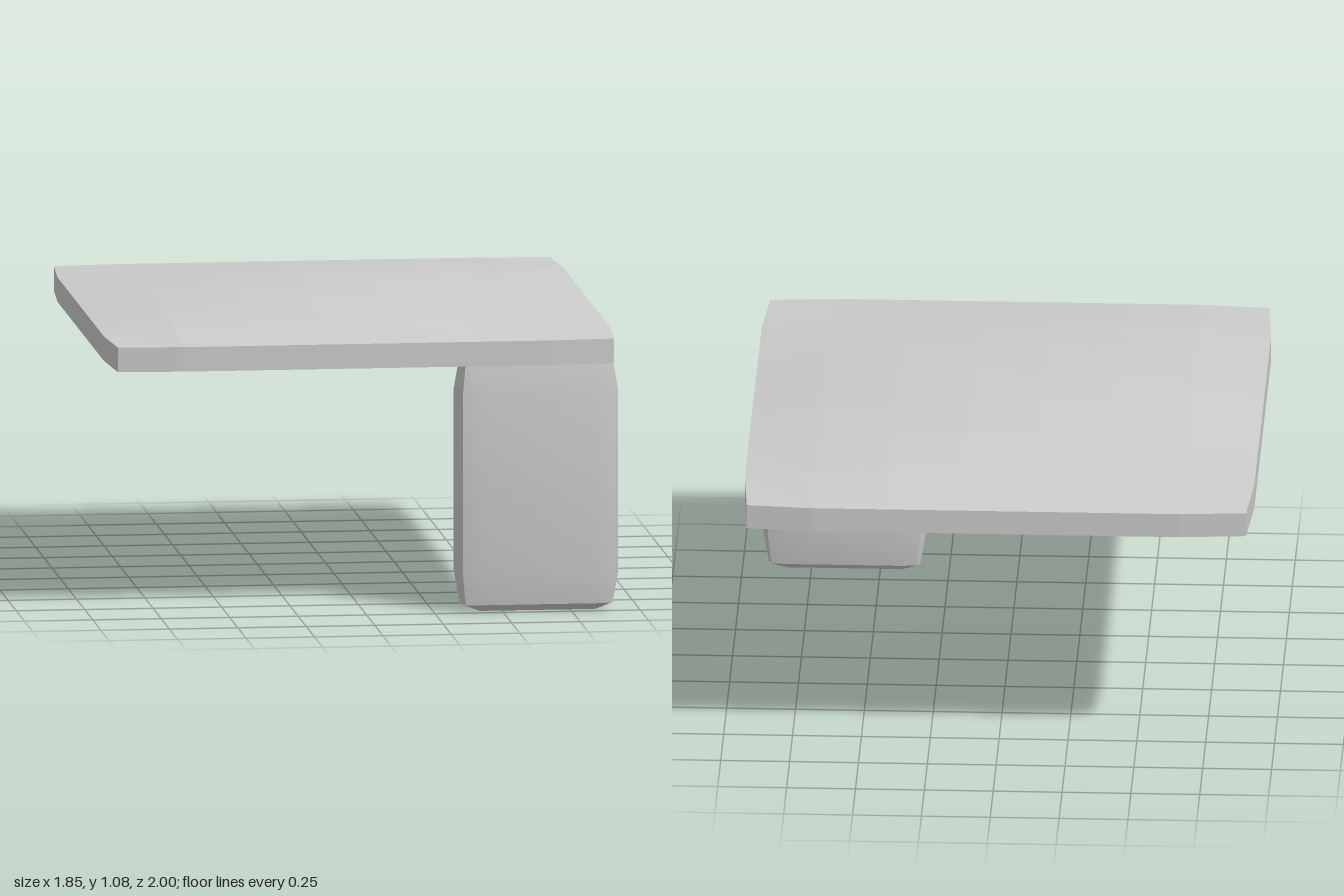
import * as THREE from 'three';
import { toCreasedNormals } from 'three/addons/utils/BufferGeometryUtils.js';

const quad = (out, a, b, c, d) => out.push([a, b, c], [a, c, d]);

// Joins horizontal rings, ordered bottom to top and running from +x towards +z
function loft(out, rings) {
  for (let k = 0; k < rings.length - 1; k++) {
    const lo = rings[k], hi = rings[k + 1], n = lo.length;
    for (let i = 0; i < n; i++) {
      const j = (i + 1) % n;
      quad(out, lo[i], hi[i], hi[j], lo[j]);
    }
  }
}

function cap(out, ring, up) {
  for (let i = 1; i < ring.length - 1; i++) {
    out.push(up ? [ring[0], ring[i + 1], ring[i]] : [ring[0], ring[i], ring[i + 1]]);
  }
}

// Builds a geometry from triangles, leaving out those with no area
function toGeometry(tris, crease) {
  const t = new THREE.Triangle();
  const solid = tris.filter(([a, b, c]) => t.set(a, b, c).getArea() > 1e-7);
  const geo = new THREE.BufferGeometry().setFromPoints(solid.flat());
  return toCreasedNormals(geo, crease);
}

// Slab with a gently domed top and slightly drawn-in corners
function slabGeometry() {
  const N = 7, base = 0.905, rim = 0.995, rise = 0.089;
  const half = [0.13, 0.4, 0.67, 0.925], deep = [0.14, 0.43, 0.71, 1];
  const at = (list, i) => (i > 3 ? list[i - 4] : -list[3 - i]);
  const edge = (i) => i === 0 || i === N;
  const bulge = (i) => 1 - ((2 * i - N) / N) ** 2;
  const point = (i, j) => new THREE.Vector3(
    at(half, i) * (edge(j) && edge(i) ? 0.98 : 1),
    rim + rise * bulge(i) * bulge(j),
    at(deep, j) * (edge(i) && edge(j) ? 0.98 : 1));

  const tris = [];
  for (let i = 0; i < N; i++) {
    for (let j = 0; j < N; j++) {
      quad(tris, point(i, j), point(i, j + 1), point(i + 1, j + 1), point(i + 1, j));
    }
  }
  // Side walls and flat underside
  const top = [];
  for (let k = 0; k < N; k++) top.push(point(N, k));
  for (let k = 0; k < N; k++) top.push(point(N - k, N));
  for (let k = 0; k < N; k++) top.push(point(0, N - k));
  for (let k = 0; k < N; k++) top.push(point(k, 0));
  const bottom = top.map((p) => new THREE.Vector3(p.x, base, p.z));
  loft(tris, [bottom, top]);
  cap(tris, bottom, false);
  return toGeometry(tris, 0.01);
}

// Flat upright block with softened edges
function legGeometry() {
  const fx = 0.21, fz = 0.05; // extent of the flat faces
  const ring = (y, hx, hz, cx, cz) => {
    const quarter = [[hx, fz], [cx, cz], [fx, hz]];
    const back = [...quarter].reverse();
    return [
      ...quarter,
      ...back.map(([x, z]) => [-x, z]),
      ...quarter.map(([x, z]) => [-x, -z]),
      ...back.map(([x, z]) => [x, -z]),
    ].map(([x, z]) => new THREE.Vector3(x, y, z));
  };
  const rings = [
    ring(0, fx, fz, fx, fz),
    ring(0.025, 0.275, 0.08, 0.265, 0.073),
    ring(0.14, 0.295, 0.0975, 0.277, 0.088),
    ring(0.8, 0.295, 0.0975, 0.277, 0.088),
    ring(0.912, 0.275, 0.08, 0.265, 0.073),
    ring(0.935, fx, fz, fx, fz),
  ];
  const tris = [];
  loft(tris, rings);
  cap(tris, rings[0], false);
  cap(tris, rings[5], true);
  return toGeometry(tris, 0.6);
}

export function createModel() {
  const model = new THREE.Group();
  model.name = 'slabWithLeg';
  const grey = new THREE.MeshStandardMaterial({ color: 0xcccccc });
  grey.name = 'light grey';

  const slab = new THREE.Mesh(slabGeometry(), grey);
  slab.name = 'domedSlab';

  const leg = new THREE.Mesh(legGeometry(), grey);
  leg.name = 'frontLeftLeg';
  leg.position.set(0.63, 0, 0.9025);

  model.add(slab, leg);
  return model;
}
